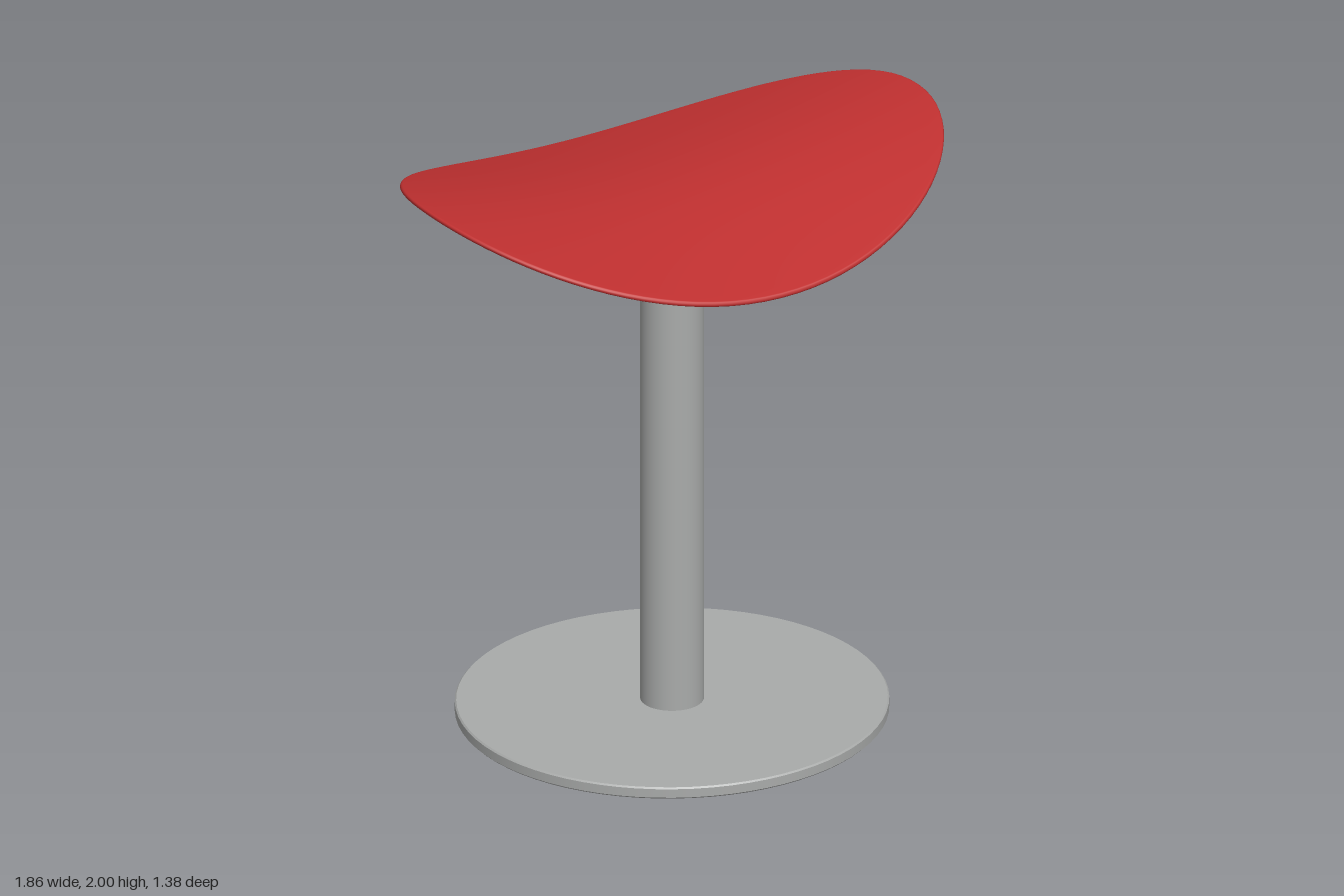
import * as THREE from 'three';
import { mergeVertices } from 'three/addons/utils/BufferGeometryUtils.js';

const red = new THREE.MeshStandardMaterial({ color: 0xc03030 });
red.name = 'seat red';
const grey = new THREE.MeshStandardMaterial({ color: 0xa9abaa });
grey.name = 'metal grey';

const HALF_X = 0.932, HALF_Z = 0.685, THICK = 0.018;

// Soft rise from 0 at the centre to 1 at the rim, straighter towards the rim
function rise(u) {
  const a = 0.8;
  return (Math.hypot(a, u) - a) / (Math.hypot(a, 1) - a);
}

// A thin round-edged disc, stretched to an oval and bent into a saddle
function saddleGeometry() {
  const profile = [];
  const rings = 24, h = THICK / 2;
  for (let i = 0; i <= rings; i++) profile.push(new THREE.Vector2((i / rings) * 0.99, -h));
  for (let i = 1; i < 6; i++) {
    const t = -Math.PI / 2 + (i / 6) * Math.PI;
    profile.push(new THREE.Vector2(0.99 + 0.01 * Math.cos(t), h * Math.sin(t)));
  }
  for (let i = rings; i >= 0; i--) profile.push(new THREE.Vector2((i / rings) * 0.99, h));

  let geo = new THREE.LatheGeometry(profile, 96);
  const p = geo.attributes.position;
  const n = 2.05; // slightly fuller than an ellipse
  for (let i = 0; i < p.count; i++) {
    const x = p.getX(i), z = p.getZ(i), r = Math.hypot(x, z);
    const full = r > 1e-6 ? r / Math.pow(Math.abs(x) ** n + Math.abs(z) ** n, 1 / n) : 1;
    const u = x * full, w = z * full;
    const y = 1.849 + 0.142 * rise(u) - 0.112 * rise(w) + p.getY(i);
    p.setXYZ(i, u * HALF_X, y, w * HALF_Z);
  }
  geo.deleteAttribute('normal');
  geo.deleteAttribute('uv');
  geo = mergeVertices(geo, 1e-5);
  geo.computeVertexNormals();
  return geo;
}

// Flat disc with a small bevel; each profile segment is its own band, so edges stay crisp
function baseDisc() {
  const group = new THREE.Group();
  group.name = 'base';
  const points = [[0, 0], [0.7, 0], [0.705, 0.005], [0.705, 0.035], [0.7, 0.04], [0, 0.04]];
  for (let i = 0; i < points.length - 1; i++) {
    const pair = [points[i], points[i + 1]].map(([x, y]) => new THREE.Vector2(x, y));
    const band = new THREE.Mesh(new THREE.LatheGeometry(pair, 72), grey);
    band.name = 'baseBand';
    group.add(band);
  }
  group.scale.z = 0.69 / 0.705;
  return group;
}

export function createModel() {
  const model = new THREE.Group();
  model.name = 'saddleStool';

  const seat = new THREE.Mesh(saddleGeometry(), red);
  seat.name = 'seat';

  const column = new THREE.Mesh(new THREE.CylinderGeometry(0.103, 0.103, 1.785, 48), grey);
  column.name = 'column';
  column.position.y = 0.04 + 1.785 / 2;

  model.add(seat, column, baseDisc());
  return model;
}
